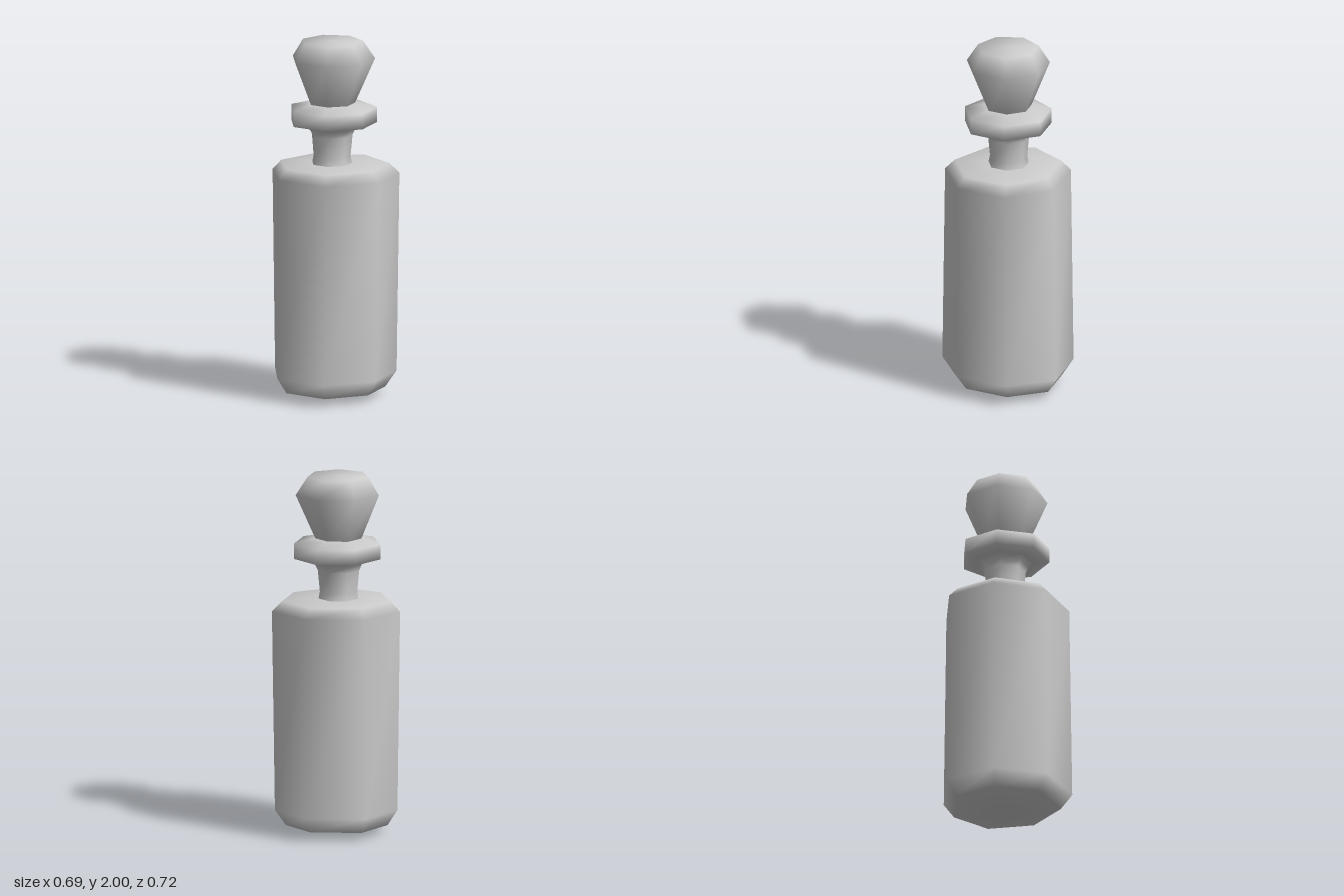
import * as THREE from 'three';
import { mergeVertices } from 'three/addons/utils/BufferGeometryUtils.js';

const SIDES = 7;
const material = new THREE.MeshStandardMaterial({ color: 0xcccccc });

// Regular seven-sided ring with one corner on -x, centred on its own width
function ring(y, r) {
  return Array.from({ length: SIDES }, (_, k) => {
    const a = Math.PI + (k * 2 * Math.PI) / SIDES;
    return [r * (0.05 + Math.cos(a)), y, r * Math.sin(a)];
  });
}

// Uneven ring: corner list scaled to a height
const corners = (y, points, s = 1) => points.map(([x, z]) => [x * s, y, z * s]);

// Joins rings from bottom to top into one smooth skin
function loft(name, rings) {
  const index = [];
  for (let i = 0; i < rings.length - 1; i++) {
    for (let k = 0; k < SIDES; k++) {
      const a = i * SIDES + k, b = i * SIDES + ((k + 1) % SIDES);
      index.push(a, a + SIDES, b, b, a + SIDES, b + SIDES);
    }
  }
  let geometry = new THREE.BufferGeometry();
  geometry.setAttribute('position', new THREE.Float32BufferAttribute(rings.flat(2), 3));
  geometry.setIndex(index);
  geometry = mergeVertices(geometry, 1e-4);
  geometry.computeVertexNormals();
  const mesh = new THREE.Mesh(geometry, material);
  mesh.name = name;
  return mesh;
}

export function createModel() {
  const group = new THREE.Group();
  group.name = 'bottle';

  // Slightly uneven hand-cut outlines of the body
  const lower = [[-0.33, 0], [-0.227, -0.283], [0.105, -0.36], [0.325, -0.17],
    [0.325, 0.14], [0.105, 0.362], [-0.203, 0.28]];
  const upper = [[-0.345, 0], [-0.22, -0.27], [0.105, -0.345], [0.342, -0.17],
    [0.342, 0.13], [0.105, 0.345], [-0.2, 0.27]];

  // Body with bevelled base and shoulder
  group.add(loft('body', [
    ring(0, 0), ring(0.003, 0.1),
    corners(0.042, lower, 0.83), corners(0.13, lower),
    corners(1.25, upper), corners(1.305, upper, 0.85),
    ring(1.312, 0.11), ring(1.312, 0),
  ]));

  // Neck flaring into the collar
  group.add(loft('neckAndCollar', [
    ring(1.305, 0.115), ring(1.35, 0.106), ring(1.47, 0.117), ring(1.505, 0.132),
    ring(1.53, 0.16), ring(1.54, 0.246), ring(1.625, 0.246),
    ring(1.652, 0.135), ring(1.652, 0),
  ]));

  // Tapered stopper
  group.add(loft('stopper', [
    ring(1.645, 0), ring(1.645, 0.128), ring(1.9, 0.236), ring(2, 0.172), ring(2, 0),
  ]));

  return group;
}
